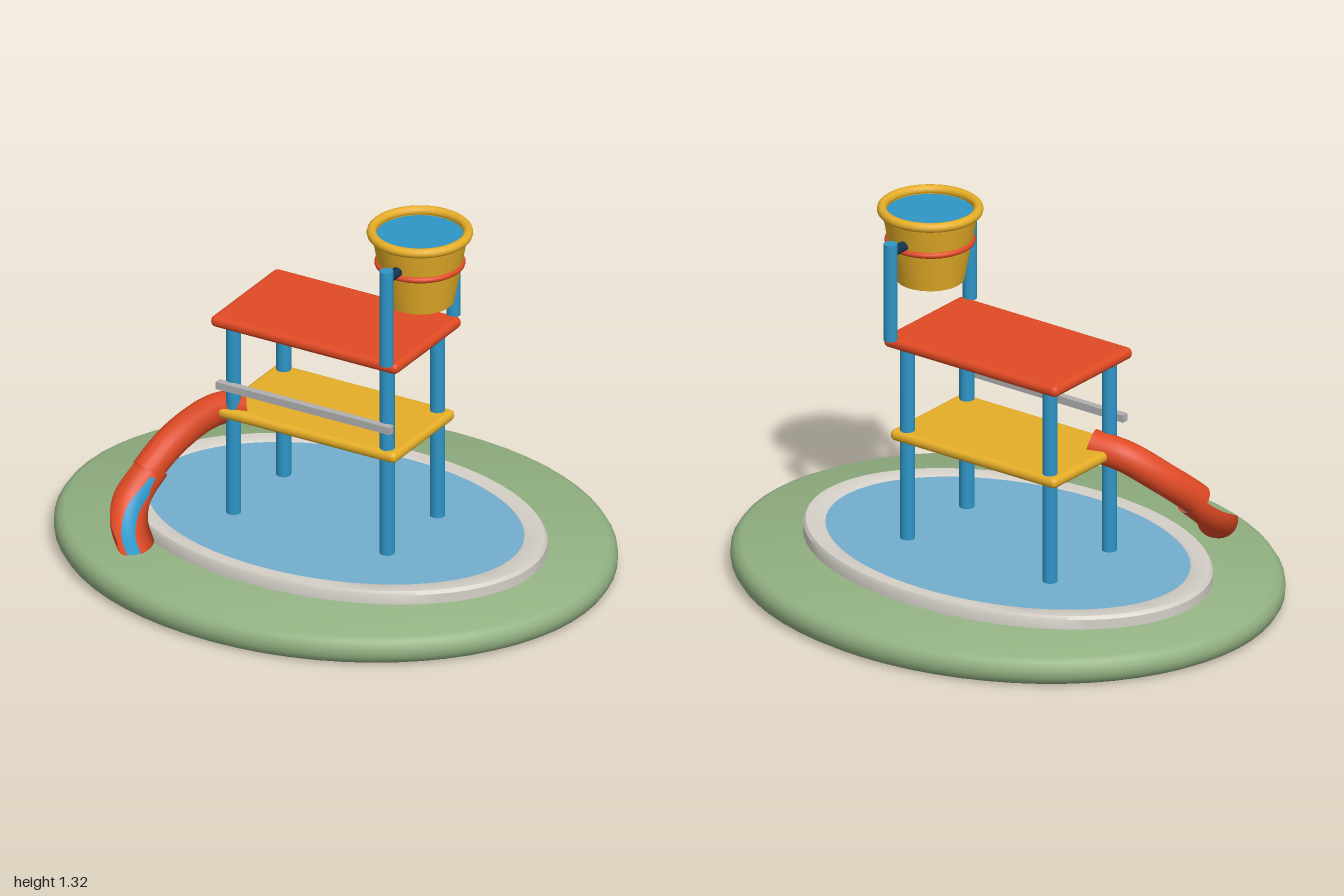
import * as THREE from 'three';
import { RoundedBoxGeometry } from 'three/addons/geometries/RoundedBoxGeometry.js';
import { toCreasedNormals } from 'three/addons/utils/BufferGeometryUtils.js';

const paint = (color, side = THREE.FrontSide) => new THREE.MeshStandardMaterial({ color, side });
const RED = 0xe04a24, YELLOW = 0xe6ae28, BLUE = 0x2e96c8;

export function createModel() {
  const model = new THREE.Group();

  function add(name, geometry, material, x = 0, y = 0, z = 0) {
    const mesh = new THREE.Mesh(geometry, material);
    mesh.name = name;
    mesh.position.set(x, y, z);
    model.add(mesh);
    return mesh;
  }

  // Turned profile with sharp edges kept; zScale makes it oval
  function lathe(points, zScale = 1, segments = 64) {
    const g = new THREE.LatheGeometry(points.map(p => new THREE.Vector2(...p)), segments);
    g.scale(1, 1, zScale);
    return toCreasedNormals(g, 0.6);
  }

  // Arc section swept along part of a curve; angles run from straight down
  function sweep(curve, u0, u1, radius, a0, a1, nu, nv) {
    const pos = [], index = [], up = new THREE.Vector3(0, 1, 0);
    for (let i = 0; i <= nu; i++) {
      const u = u0 + (u1 - u0) * i / nu;
      const c = curve.getPointAt(u), t = curve.getTangentAt(u);
      const side = new THREE.Vector3().crossVectors(t, up).normalize();
      const lift = new THREE.Vector3().crossVectors(side, t);
      for (let j = 0; j <= nv; j++) {
        const a = a0 + (a1 - a0) * j / nv;
        const p = c.clone().addScaledVector(side, radius * Math.sin(a)).addScaledVector(lift, -radius * Math.cos(a));
        pos.push(p.x, p.y, p.z);
        if (i < nu && j < nv) {
          const k = i * (nv + 1) + j, n = k + nv + 1;
          index.push(k, k + 1, n, k + 1, n + 1, n);
        }
      }
    }
    const g = new THREE.BufferGeometry();
    g.setAttribute('position', new THREE.Float32BufferAttribute(pos, 3));
    g.setIndex(index);
    g.computeVertexNormals();
    return g;
  }

  // Oval ground pad, pool curb and water
  add('groundPad', lathe([[0, 0], [0.962, 0], [0.985, 0.012], [0.998, 0.032], [1, 0.05], [0.998, 0.068],
    [0.985, 0.088], [0.962, 0.1], [0, 0.1]], 0.845), paint(0x93b283));
  add('poolCurb', lathe([[0.775, 0.09], [0.775, 0.135], [0.765, 0.147], [0.7, 0.147], [0.69, 0.142], [0.69, 0.09]], 0.7),
    paint(0xd4d0c8));
  add('poolWater', new THREE.CircleGeometry(0.7, 64).rotateX(-Math.PI / 2).scale(1, 1, 0.7), paint(0x72aece), 0, 0.142, 0);

  // Tower legs, decks and front rail
  const blue = paint(BLUE), legGeometry = new THREE.CylinderGeometry(0.026, 0.026, 0.705, 14);
  for (const x of [-0.307, 0.303])
    for (const z of [-0.167, 0.167]) add('towerLeg', legGeometry, blue, x, 0.4925, z);
  add('lowerDeck', new RoundedBoxGeometry(0.71, 0.04, 0.41, 3, 0.019), paint(YELLOW), 0, 0.522, 0);
  add('roofDeck', new RoundedBoxGeometry(0.743, 0.042, 0.443, 3, 0.02), paint(RED), 0, 0.872, 0);
  add('frontRail', new THREE.BoxGeometry(0.69, 0.027, 0.026), paint(0xb0b0b0), -0.005, 0.631, 0.2);

  // Bucket posts and axle
  const bx = 0.333;
  for (const z of [-0.223, 0.223])
    add('bucketPost', new THREE.CylinderGeometry(0.024, 0.024, 0.357, 14), blue, bx, 1.0675, z);
  add('bucketAxle', new THREE.CylinderGeometry(0.018, 0.018, 0.44, 14).rotateX(Math.PI / 2), paint(0x17324e), bx, 1.212, 0);

  // Tipping bucket with rim, band and water
  add('bucket', lathe([[0, 1.042], [0.117, 1.042], [0.166, 1.298], [0.152, 1.298], [0.148, 1.27]], 1, 40),
    paint(YELLOW, THREE.DoubleSide), bx, 0, 0);
  add('bucketRim', new THREE.TorusGeometry(0.165, 0.017, 12, 40).rotateX(Math.PI / 2), paint(YELLOW), bx, 1.299, 0);
  add('bucketBand', new THREE.TorusGeometry(0.145, 0.011, 10, 40).rotateX(Math.PI / 2), paint(RED), bx, 1.187, 0);
  add('bucketWater', new THREE.CircleGeometry(0.153, 40).rotateX(-Math.PI / 2), blue, bx, 1.288, 0);

  // Curved slide: closed tube, then open chute with running water
  const path = new THREE.CatmullRomCurve3([
    [-0.265, 0.538, 0.12], [-0.38, 0.51, 0.16], [-0.475, 0.43, 0.24], [-0.53, 0.335, 0.345],
    [-0.55, 0.255, 0.43], [-0.52, 0.195, 0.505], [-0.455, 0.155, 0.57],
  ].map(p => new THREE.Vector3(...p)));
  const red = paint(RED, THREE.DoubleSide);
  add('slideTube', sweep(path, 0, 0.6, 0.056, -Math.PI, Math.PI, 28, 20), red);
  add('slideChute', sweep(path, 0.56, 1, 0.065, -1.7, 1.7, 20, 16), red);
  add('slideWater', sweep(path, 0.58, 1, 0.06, -0.42, 0.42, 20, 6), paint(BLUE, THREE.DoubleSide));

  return model;
}
